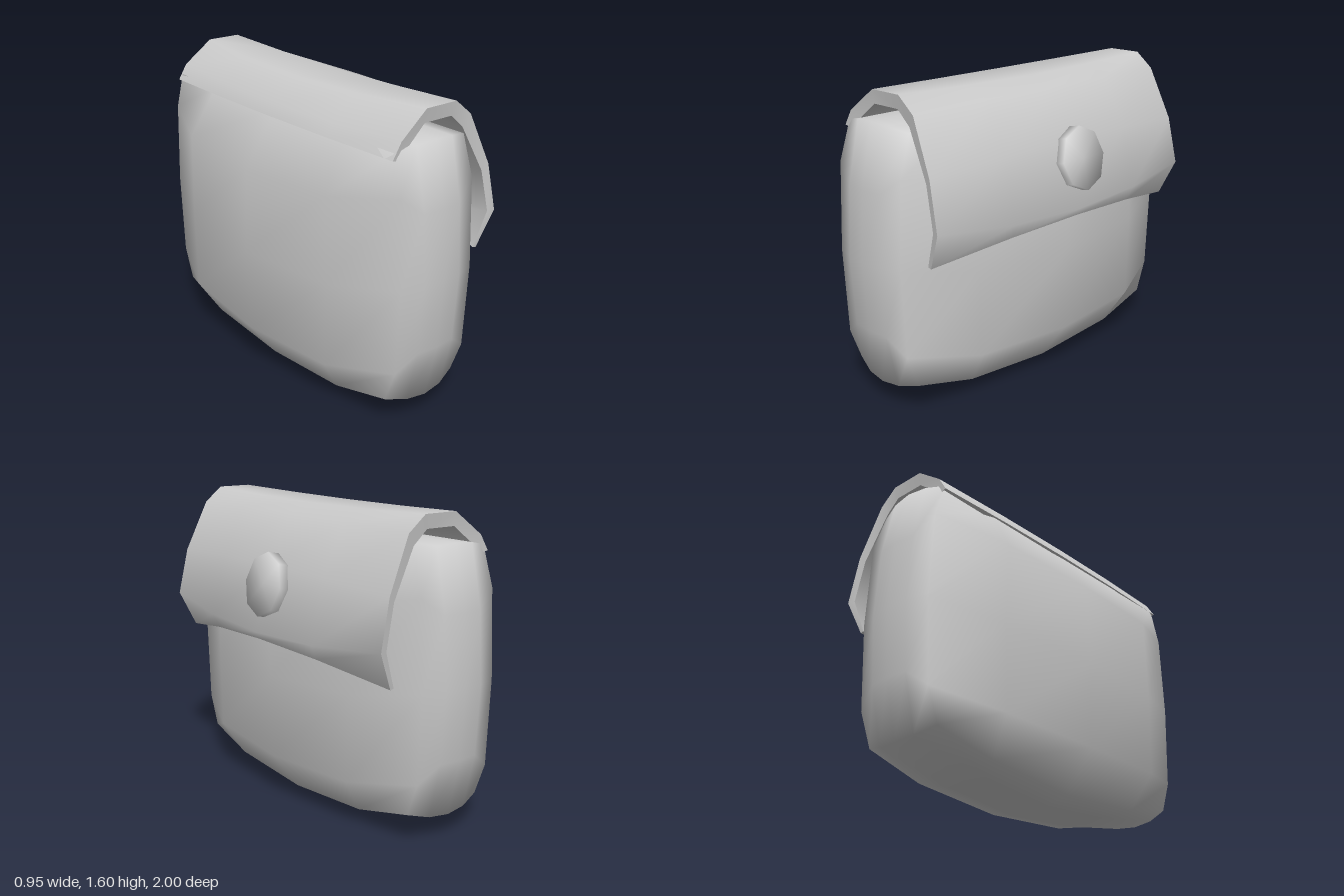
import * as THREE from 'three';
import { mergeVertices, toCreasedNormals } from 'three/addons/utils/BufferGeometryUtils.js';

const grey = () => new THREE.MeshStandardMaterial({ color: 0xcccccc });

function mesh(name, geometry) {
  const m = new THREE.Mesh(geometry, grey());
  m.name = name;
  return m;
}

// drop the split normals so the whole surface shades smoothly
function smooth(geometry) {
  geometry.deleteAttribute('normal');
  geometry.deleteAttribute('uv');
  const g = mergeVertices(geometry, 1e-4);
  g.computeVertexNormals();
  return g;
}

// value at |t| = 0, 0.5 or 1
const pick = (t, table) => table[Math.round(Math.abs(t) * 2)];

// pillow-shaped bag: a coarse box whose edges are pulled in
function bagGeometry() {
  const g = new THREE.BoxGeometry(2, 2, 2, 4, 4, 4);
  const p = g.attributes.position;
  for (let i = 0; i < p.count; i++) {
    const u = p.getX(i), v = p.getY(i), w = p.getZ(i);
    const onSide = Math.abs(u) > 0.99;
    const narrow = Math.min(
      pick(v, [1, 0.965, v > 0 ? 0.53 : 0.59]),
      pick(w, [1, 0.87, 0.54]));
    const x = -0.05 + 0.425 * u * narrow;

    const wide = onSide && Math.abs(w) === 0.5 ? w * 1.22 : w;
    const z = wide * (1 - 0.05 * u * u) * (1 - 0.09 * v * v);

    let y;
    if (v === -1) y = pick(w, [0, 0.04, 0.12]) + 0.04 * u * u;
    else if (v === 1) y = 1.46 - 0.03 * u * u;
    else y = 0.7 + v * (onSide ? 0.9 : 0.72) + 0.08 * w * w;
    p.setXYZ(i, x, y, z);
  }
  return smooth(g);
}

// flap: cross-section blended from the ends to the middle, [x, y, half width]
function flapGeometry() {
  const endOuter = [[-0.29, 1.4, 0.88], [-0.24, 1.48, 0.88], [-0.08, 1.6, 0.87], [0.11, 1.6, 0.87],
    [0.21, 1.52, 0.87], [0.335, 1.25, 0.89], [0.39, 1.0, 0.9], [0.305, 0.81, 0.87]];
  const endInner = [[-0.2, 1.38, 0.87], [-0.18, 1.45, 0.87], [-0.08, 1.53, 0.86], [0.09, 1.53, 0.86],
    [0.17, 1.46, 0.86], [0.3, 1.22, 0.88], [0.35, 1.0, 0.89], [0.285, 0.815, 0.87]];
  const midOuter = [[-0.31, 1.4], [-0.28, 1.46], [-0.15, 1.58], [0.11, 1.58],
    [0.24, 1.535], [0.37, 1.28], [0.455, 0.94], [0.44, 0.905]];
  const midInner = [[-0.21, 1.38], [-0.2, 1.43], [-0.11, 1.52], [0.09, 1.52],
    [0.19, 1.47], [0.325, 1.25], [0.41, 0.96], [0.42, 0.92]];
  const ends = [...endOuter, ...endInner.reverse()];
  const mids = [...midOuter, ...midInner.reverse()];
  const n = ends.length, stations = [-1, -0.5, 0, 0.5, 1];
  const pos = [], idx = [];
  for (const t of stations) {
    ends.forEach(([x, y, half], i) => {
      const k = 1 - t * t;
      pos.push(x + (mids[i][0] - x) * k, y + (mids[i][1] - y) * k, half * t);
    });
  }
  const quad = (a, b, c, d) => idx.push(a, b, c, a, c, d);
  for (let s = 0; s < stations.length - 1; s++) {
    for (let i = 0; i < n; i++) {
      const j = (i + 1) % n, a = s * n, b = a + n;
      quad(a + i, b + i, b + j, a + j);
    }
  }
  // end caps between the outer and inner outlines
  const last = (stations.length - 1) * n;
  for (let i = 0; i < n / 2 - 1; i++) {
    const o = n - 1 - i;
    quad(i, i + 1, o - 1, o);
    quad(last + i, last + o, last + o - 1, last + i + 1);
  }
  const g = new THREE.BufferGeometry();
  g.setAttribute('position', new THREE.Float32BufferAttribute(pos, 3));
  g.setIndex(idx);
  return toCreasedNormals(g, 0.95);
}

export function createModel() {
  const model = new THREE.Group();
  model.name = 'pouch';
  model.add(mesh('bag', bagGeometry()));
  model.add(mesh('flap', flapGeometry()));

  // eight-sided button leaning with the flap
  const button = mesh('button', smooth(new THREE.CylinderGeometry(0.165, 0.165, 0.09, 8)));
  button.scale.z = 0.92;
  button.rotation.z = -Math.PI / 2 + 0.22;
  button.position.set(0.395, 1.185, -0.04);
  model.add(button);
  return model;
}
